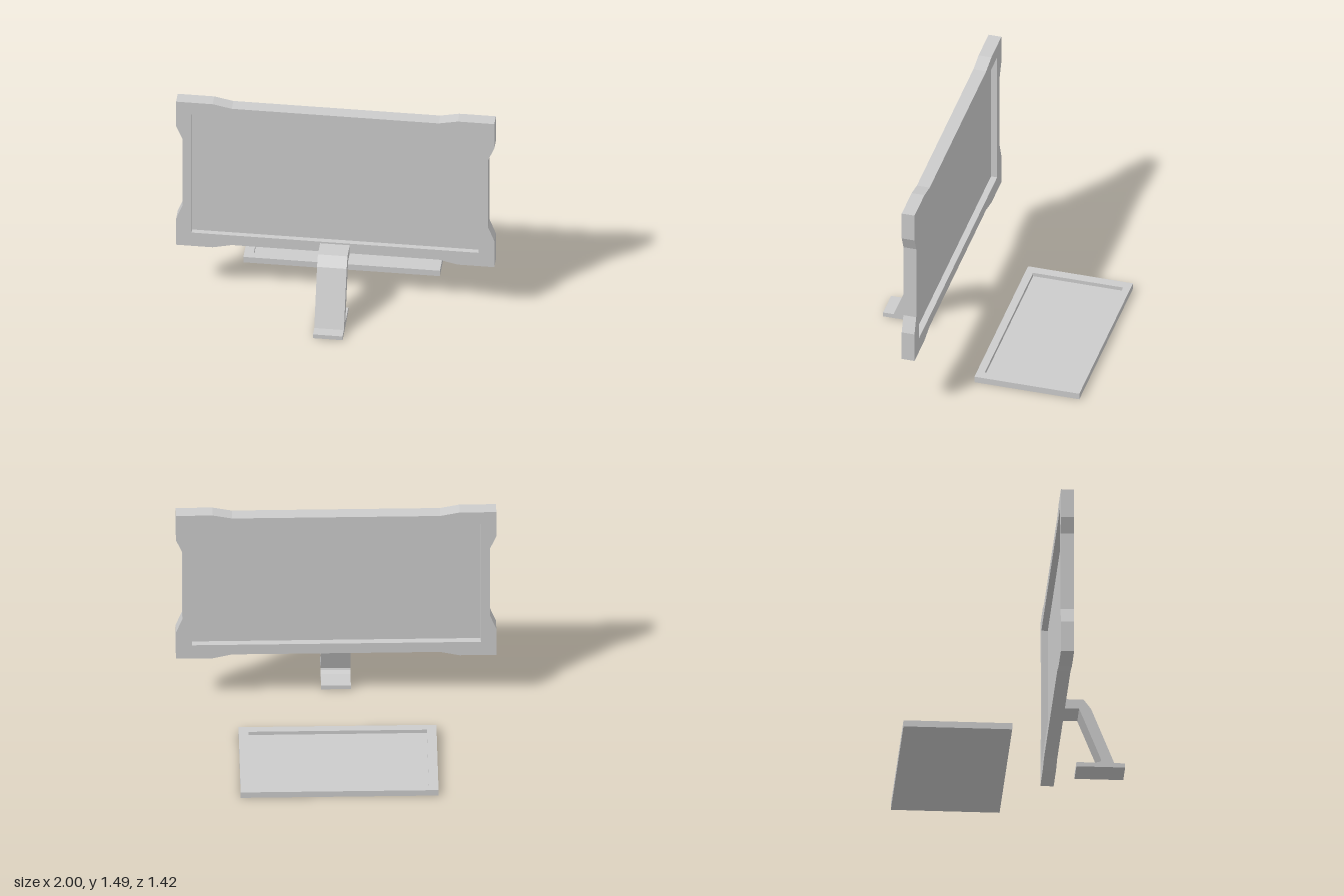
import * as THREE from 'three';

const material = new THREE.MeshStandardMaterial({ color: 0xcccccc, flatShading: true });

function polygon(points) {
  return points.map(([x, y]) => new THREE.Vector2(x, y));
}

function rectangle(x0, x1, y0, y1) {
  return polygon([[x0, y0], [x1, y0], [x1, y1], [x0, y1]]);
}

// Extrudes an outline, optionally pierced by one opening
function extrude(outline, depth, opening) {
  const shape = new THREE.Shape(outline);
  if (opening) shape.holes.push(new THREE.Path(opening));
  return new THREE.ExtrudeGeometry(shape, { depth, bevelEnabled: false });
}

function addPart(parent, name, geometry) {
  const mesh = new THREE.Mesh(geometry, material);
  mesh.name = name;
  parent.add(mesh);
  return mesh;
}

function box(x0, x1, y0, y1, z0, z1) {
  return new THREE.BoxGeometry(x1 - x0, y1 - y0, z1 - z0)
    .translate((x0 + x1) / 2, (y0 + y1) / 2, (z0 + z1) / 2);
}

export function createModel() {
  const model = new THREE.Group();
  model.name = 'monitorWithKeyboardTray';

  // Screen frame: corners flare out past the straight edges
  const screen = new THREE.Group();
  screen.name = 'screen';
  model.add(screen);
  const half = [
    [0.65, 0.4], [0.77, 0.372], [1, 0.372], [1, 0.575], [0.96, 0.68],
    [0.96, 1.2], [1, 1.295], [1, 1.485], [0.77, 1.485], [0.65, 1.46],
  ];
  const mirrored = half.map(([x, y]) => [-x, y]).reverse();
  const frame = extrude(
    polygon([...half, ...mirrored]), 0.083,
    rectangle(-0.903, 0.9, 0.475, 1.395),
  ).translate(0, 0, 0.25);
  addPart(screen, 'screenFrame', frame);

  // Thin panel, recessed from both faces of the frame
  addPart(screen, 'screenPanel', box(-0.903, 0.9, 0.475, 1.395, 0.29, 0.3));

  // Bent stand: side profile as [z, y], extruded across its width
  const profile = [
    [0.333, 0.463], [0.45, 0.463], [0.497, 0.4], [0.642, 0.032], [0.71, 0.032],
    [0.71, 0.003], [0.405, 0.003], [0.405, 0.032], [0.525, 0.032],
    [0.555, 0.04], [0.56, 0.052], [0.422, 0.4], [0.333, 0.4],
  ];
  const stand = extrude(polygon(profile.map(([z, y]) => [-z, y])), 0.186)
    .rotateY(Math.PI / 2)
    .translate(-0.095, 0, 0);
  addPart(model, 'stand', stand);

  // Separate tray: raised rim around a sunken floor
  const tray = new THREE.Group();
  tray.name = 'tray';
  model.add(tray);
  const rim = extrude(
    rectangle(-0.62, 0.615, 0.03, 0.71), 0.025,
    rectangle(-0.56, 0.555, 0.08, 0.663),
  ).rotateX(-Math.PI / 2).translate(0, 0.017, 0);
  addPart(tray, 'trayRim', rim);
  addPart(tray, 'trayFloor', box(-0.62, 0.615, 0, 0.017, -0.71, -0.03));

  return model;
}
